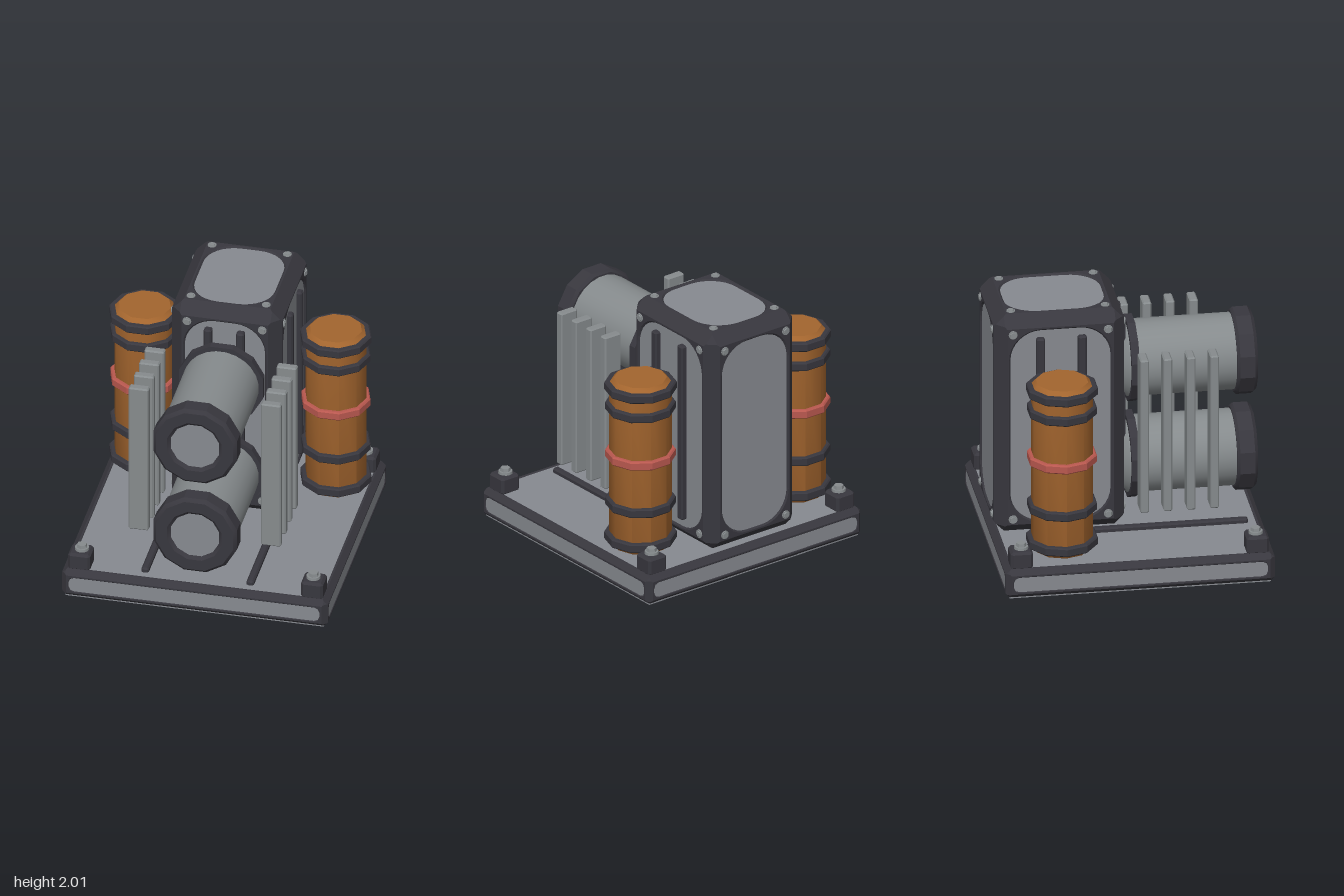
import * as THREE from 'three';
import { ConvexGeometry } from 'three/addons/geometries/ConvexGeometry.js';
import { toCreasedNormals } from 'three/addons/utils/BufferGeometryUtils.js';

const mat = (name, color) => Object.assign(new THREE.MeshStandardMaterial({ color }), { name });

export function createModel() {
  const dark = mat('dark frame', 0x38373e);
  const plate = mat('plate grey', 0x878a90);
  const steel = mat('steel grey', 0x868b8d);
  const orange = mat('tank orange', 0xa3652e);
  const red = mat('band red', 0xb9584f);
  const model = new THREE.Group();
  model.name = 'machine';

  const add = (parent, name, geo, material, x = 0, y = 0, z = 0) => {
    const mesh = new THREE.Mesh(geo, material);
    mesh.name = name;
    mesh.position.set(x, y, z);
    parent.add(mesh);
    return mesh;
  };

  const addGroup = (parent, name, x = 0, y = 0, z = 0) => {
    const g = new THREE.Group();
    g.name = name;
    g.position.set(x, y, z);
    parent.add(g);
    return g;
  };

  // Box with every edge chamfered, given by half sizes
  const chamferBox = (hx, hy, hz, c) => {
    const pts = [];
    for (const sx of [-1, 1]) for (const sy of [-1, 1]) for (const sz of [-1, 1]) {
      pts.push(new THREE.Vector3(sx * hx, sy * (hy - c), sz * (hz - c)));
      pts.push(new THREE.Vector3(sx * (hx - c), sy * hy, sz * (hz - c)));
      pts.push(new THREE.Vector3(sx * (hx - c), sy * (hy - c), sz * hz));
    }
    return new ConvexGeometry(pts);
  };

  // Turned part with n sides, flats facing the front axis
  const turned = (points, n, crease) => toCreasedNormals(
    new THREE.LatheGeometry(points.map(p => new THREE.Vector2(p[0], p[1])), n, Math.PI / n), crease);

  // Hexagonal bolt on a round washer, pointing up local y
  const bolt = (parent, r, h, x, y, z) => {
    const g = addGroup(parent, 'bolt', x, y, z);
    add(g, 'washer', new THREE.CylinderGeometry(r, r * 1.05, h * 0.5, 12), steel, 0, h * 0.25, 0);
    add(g, 'boltHead', toCreasedNormals(new THREE.CylinderGeometry(r * 0.7, r * 0.78, h * 0.6, 6), 0.5),
      steel, 0, h * 0.75, 0);
    return g;
  };

  const outline = (target, w, h, r) => {
    target.moveTo(-w + r, -h);
    target.lineTo(w - r, -h);
    target.absarc(w - r, -h + r, r, -Math.PI / 2, 0, false);
    target.lineTo(w, h - r);
    target.absarc(w - r, h - r, r, 0, Math.PI / 2, false);
    target.lineTo(-w + r, h);
    target.absarc(-w + r, h - r, r, Math.PI / 2, Math.PI, false);
    target.lineTo(-w, -h + r);
    target.absarc(-w + r, -h + r, r, Math.PI, Math.PI * 1.5, false);
    return target;
  };

  // Chamfered body whose faces carry raised bevelled frames around inset plates
  const framedBody = (name, [hx, hy, hz], y, z, { chamfer, bevel, radius, segments, bolts }) => {
    const g = addGroup(model, name, 0, y, z);
    add(g, 'core', chamferBox(hx - bevel, hy - bevel, hz - bevel, chamfer - 2 * bevel), dark);
    const H = Math.PI / 2;
    const faces = [
      ['front', 0, 0, hx, hy, hz], ['back', 0, 2 * H, hx, hy, hz],
      ['left', 0, H, hz, hy, hx], ['right', 0, -H, hz, hy, hx],
      ['top', -H, 0, hx, hz, hy],
    ];
    for (const [side, rx, ry, u, v, d] of faces) {
      const f = addGroup(g, side + 'Face');
      f.rotation.set(rx, ry, 0);
      const w = u - chamfer, h = v - chamfer, m = 0.012;
      const shape = new THREE.Shape([
        new THREE.Vector2(-w, -h), new THREE.Vector2(w, -h),
        new THREE.Vector2(w, h), new THREE.Vector2(-w, h)]);
      shape.holes.push(outline(new THREE.Path(), w - m, h - m, radius));
      add(f, side + 'Frame', new THREE.ExtrudeGeometry(shape, {
        depth: 0.01, bevelEnabled: true, bevelThickness: bevel, bevelSize: bevel,
        bevelSegments: 1, curveSegments: segments,
      }), dark, 0, 0, d - bevel - 0.01);
      add(f, side + 'Plate', new THREE.ShapeGeometry(
        outline(new THREE.Shape(), w - m, h - m, radius), segments), plate, 0, 0, d - bevel + 0.003);
      if (bolts) for (const sx of [-1, 1]) for (const sy of [-1, 1])
        bolt(f, 0.032, 0.014, sx * (w - 0.042), sy * (h - 0.045), d).rotation.x = H;
    }
    return g;
  };

  // Base slab and its underside
  framedBody('base', [1, 0.115, 1], 0.115, 0,
    { chamfer: 0.04, bevel: 0.008, radius: 0.045, segments: 1, bolts: false });
  add(model, 'basePlateBottom', new THREE.BoxGeometry(1.94, 0.009, 1.94), plate, 0, 0.0045, 0);

  // Corner blocks with bolts
  for (const sx of [-1, 1]) for (const sz of [-1, 1]) {
    add(model, 'cornerBlock', chamferBox(0.083, 0.07, 0.083, 0.018), dark, sx * 0.875, 0.285, sz * 0.875);
    bolt(model, 0.052, 0.045, sx * 0.87, 0.352, sz * 0.87);
  }

  // Tower
  framedBody('tower', [0.415, 0.88, 0.485], 1.12, -0.505,
    { chamfer: 0.09, bevel: 0.015, radius: 0.24, segments: 4, bolts: true });

  // Vertical ribs on the front and sides of the tower, and rails on the floor
  const frontRib = chamferBox(0.03, 0.705, 0.035, 0.012);
  const sideRib = chamferBox(0.035, 0.705, 0.032, 0.012);
  const rail = chamferBox(0.028, 0.03, 0.64, 0.012);
  for (const s of [-1, 1]) {
    add(model, 'frontRib', frontRib, dark, s * 0.122, 1.125, -0.015);
    for (const z of [-0.345, -0.655]) add(model, 'sideRib', sideRib, dark, s * 0.41, 1.125, z);
    add(model, 'floorRail', rail, dark, s * 0.395, 0.23, 0.245);
  }

  // Horizontal barrels
  const barrelBody = turned([[0.2, -0.03], [0.25, 0], [0.285, 0.035], [0.285, 0.85]], 24, 0.5);
  const barrelFlange = turned([[0.26, 0.04], [0.326, 0.04], [0.326, 0.1], [0.26, 0.1]], 12, 0.4);
  const barrelCap = turned([[0.27, 0.825], [0.305, 0.825], [0.326, 0.845], [0.326, 0.955],
    [0.3, 0.98], [0.212, 0.98], [0.188, 0.96], [0.188, 0.93]], 12, 0.4);
  const barrelEnd = new THREE.CircleGeometry(0.2, 12, Math.PI / 12);
  for (const y of [1.43, 0.655]) {
    const g = addGroup(model, 'barrel', 0, y, 0);
    add(g, 'barrelBody', barrelBody, steel).rotation.x = Math.PI / 2;
    add(g, 'barrelFlange', barrelFlange, dark).rotation.x = Math.PI / 2;
    add(g, 'barrelCap', barrelCap, dark).rotation.x = Math.PI / 2;
    add(g, 'barrelEnd', barrelEnd, plate, 0, 0, 0.955);
  }

  // Cooling fins
  const fin = chamferBox(0.075, 0.615, 0.032, 0.01);
  for (const s of [-1, 1]) for (let i = 0; i < 4; i++)
    add(model, 'coolingFin', fin, steel, s * 0.497, 1.045, 0.095 + i * 0.173);

  // Upright tanks with bands
  const tankBody = turned([[0, 0.27], [0.205, 0.27], [0.23, 0.3], [0.23, 1.58], [0.195, 1.615], [0, 1.615]], 10, 0.7);
  const band = (r) => turned([[0.21, -0.035], [r - 0.01, -0.035], [r, -0.025], [r, 0.025],
    [r - 0.01, 0.035], [0.21, 0.035]], 10, 0.4);
  const wide = band(0.267), narrow = band(0.26);
  for (const s of [-1, 1]) {
    const g = addGroup(model, s > 0 ? 'leftTank' : 'rightTank', s * 0.718, 0, -0.543);
    add(g, 'tankBody', tankBody, orange);
    for (const y of [0.34, 1.55]) add(g, 'endBand', wide, dark, 0, y, 0);
    for (const y of [0.62, 1.39]) add(g, 'tankBand', narrow, dark, 0, y, 0);
    add(g, 'redBand', narrow, red, 0, 1.005, 0);
  }
  return model;
}
